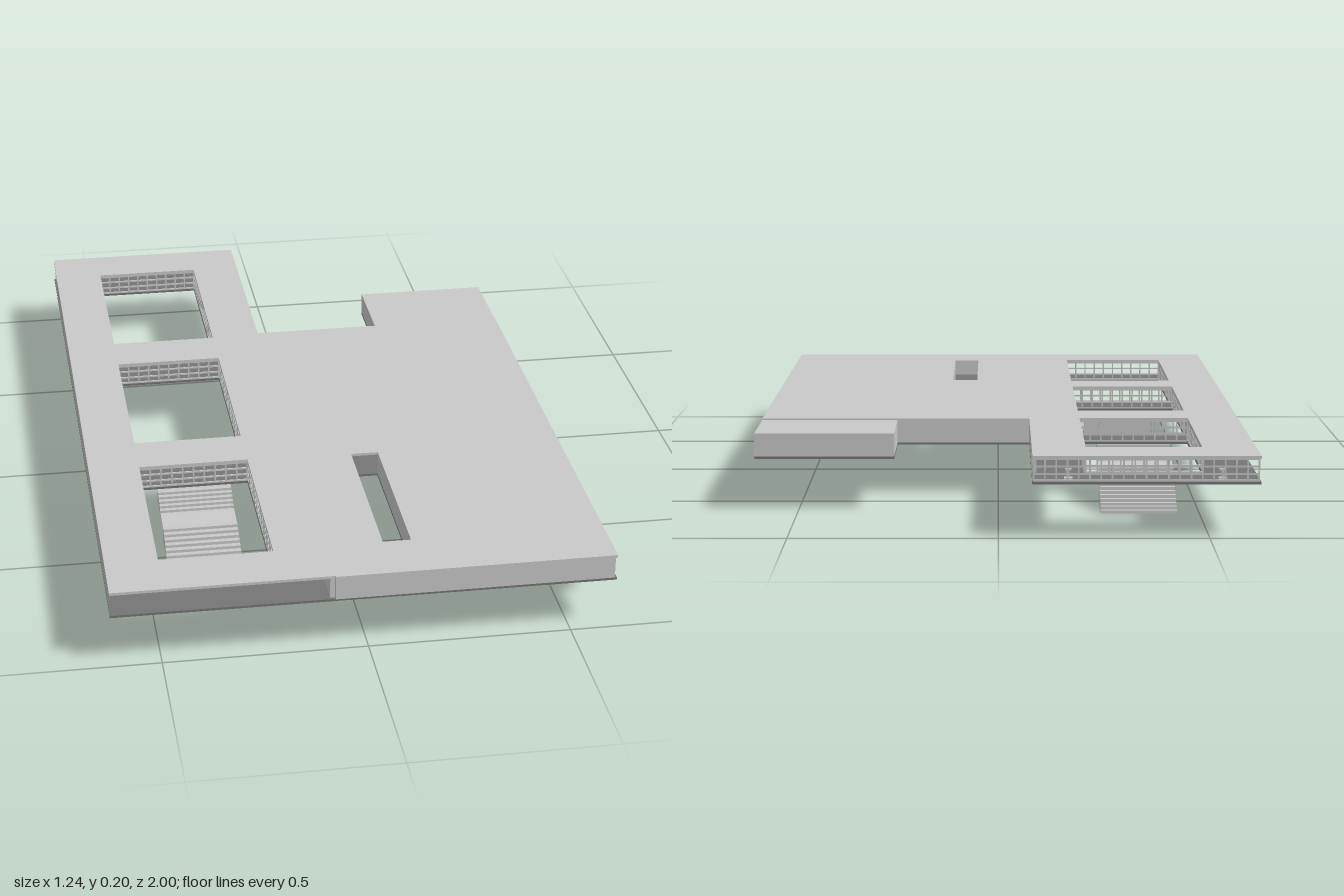
import * as THREE from 'three';

const pale = new THREE.MeshStandardMaterial({ color: 0xc8c8c8 });
pale.name = 'pale concrete';
const dark = new THREE.MeshStandardMaterial({ color: 0x757575 });
dark.name = 'dark floor';

const FLOOR = 0.135, CEIL = 0.19, TOP = 0.197;
// openings as [x0, x1, z0, z1]
const courts = [[-0.49, -0.21, -0.865, -0.38], [-0.49, -0.21, -0.245, 0.235], [-0.49, -0.21, 0.37, 0.85]];
const slot = [0.06, 0.13, 0.38, 0.845];

export function createModel() {
  const model = new THREE.Group();
  model.name = 'pavilion';

  function box(name, x0, x1, y0, y1, z0, z1, material = pale, parent = model) {
    const mesh = new THREE.Mesh(new THREE.BoxGeometry(x1 - x0, y1 - y0, z1 - z0), material);
    mesh.position.set((x0 + x1) / 2, (y0 + y1) / 2, (z0 + z1) / 2);
    mesh.name = name;
    parent.add(mesh);
  }

  // horizontal plate with openings, drawn in x and z
  function slab(name, outline, holes, y0, y1, material) {
    const shape = new THREE.Shape(outline.map(([x, z]) => new THREE.Vector2(x, z)));
    for (const [x0, x1, z0, z1] of holes) {
      shape.holes.push(new THREE.Path([[x0, z0], [x0, z1], [x1, z1], [x1, z0]].map(([x, z]) => new THREE.Vector2(x, z))));
    }
    const geometry = new THREE.ExtrudeGeometry(shape, { depth: y1 - y0, bevelEnabled: false });
    geometry.rotateX(Math.PI / 2);
    const mesh = new THREE.Mesh(geometry, material);
    mesh.position.y = y1;
    mesh.name = name;
    model.add(mesh);
  }

  // open window grid along x or z
  function grid(name, axis, from, to, at) {
    const group = new THREE.Group();
    group.name = name;
    const bar = 0.002;
    const put = (a0, a1, y0, y1) => axis === 'x'
      ? box('bar', a0, a1, y0, y1, at - bar, at + bar, pale, group)
      : box('bar', at - bar, at + bar, y0, y1, a0, a1, pale, group);
    for (const y of [FLOOR + 0.002, 0.153, 0.171, CEIL - 0.002]) put(from, to, y - bar, y + bar);
    const n = Math.round((to - from) / 0.027);
    for (let i = 0; i <= n; i++) {
      const a = from + (to - from) * i / n;
      put(a - bar, a + bar, FLOOR, CEIL);
    }
    model.add(group);
  }

  // floor and roof plates
  slab('floor', [[-0.62, -1], [-0.08, -1], [-0.08, -0.39], [0.26, -0.39], [0.26, -0.62], [0.61, -0.62], [0.61, 0.995], [-0.62, 0.99]],
    [...courts, slot], 0.129, FLOOR, dark);
  slab('roof', [[-0.62, -1], [-0.08, -1], [-0.08, -0.39], [0.61, -0.39], [0.61, 0.995], [-0.08, 0.995], [-0.08, 0.99], [-0.62, 0.99]],
    [...courts, slot], CEIL, TOP, pale);
  box('rearBlockRoof', 0.26, 0.61, CEIL - 0.002, TOP - 0.004, -0.62, -0.39);

  // solid walls
  const t = 0.012;
  box('frontWall', -0.08, 0.605, FLOOR, CEIL, 0.995 - t, 0.995);
  box('wingWall', -0.08 - t, -0.08, FLOOR, CEIL, -0.86, 0.985);
  box('notchWall', -0.08, 0.26, FLOOR, CEIL, -0.39, -0.39 + t);
  box('notchSideWall', 0.26, 0.26 + t, FLOOR, CEIL, -0.62, -0.39);
  box('rearBlockWall', 0.26, 0.61, FLOOR, CEIL, -0.62, -0.62 + t);
  box('sideWallFront', 0.605 - t, 0.605, FLOOR, CEIL, 0.235, 0.995 - t);
  box('sideWallRear', 0.605 - t, 0.605, FLOOR, CEIL, -0.38, -0.24);
  for (const x of [slot[0] - 0.006, slot[1]]) {
    box('slotWall', x, x + 0.006, FLOOR, CEIL, slot[2], slot[3]);
  }

  // window grids
  grid('sideWindowMiddle', 'z', -0.24, 0.235, 0.604);
  grid('sideWindowRear', 'z', -0.61, -0.38, 0.604);
  grid('rearWindow', 'x', -0.615, -0.083, -0.99);
  for (const [x0, x1, z0, z1] of courts) {
    grid('courtWindow', 'x', x0, x1, z0 - 0.003);
    grid('courtWindow', 'x', x0, x1, z1 + 0.003);
    grid('courtWindow', 'z', z0, z1, x0 - 0.003);
    grid('courtWindow', 'z', z0, z1, x1 + 0.003);
  }

  // small stands at the rear end
  for (const x of [-0.53, -0.165]) {
    box('standPost', x - 0.003, x + 0.003, FLOOR, 0.165, -0.981, -0.975);
    box('standBase', x - 0.01, x + 0.01, FLOOR, 0.143, -0.988, -0.968);
    box('standTop', x - 0.008, x + 0.008, 0.16, 0.164, -0.986, -0.97);
  }

  // stairs: profile in z and y, two flights with a landing
  const profile = [[0.37, 0.129], [0.37, 0.09], [0.5, 0.088 - 0.001], [0.5, 0.045], [0.575, 0.045], [0.575, 0], [0.67, 0]];
  const flight = (z0, y0, z1, y1, n) => {
    for (let i = 0; i < n; i++) {
      const z = z0 + (z1 - z0) * i / n;
      const y = y0 + (y1 - y0) * (i + 1) / n;
      profile.push([z, y], [z + (z1 - z0) / n, y]);
    }
  };
  flight(0.67, 0, 0.5, 0.089, 12);
  flight(0.45, 0.089, 0.38, 0.13, 6);
  const stairShape = new THREE.Shape(profile.map(([z, y]) => new THREE.Vector2(z, y)));
  const stairGeometry = new THREE.ExtrudeGeometry(stairShape, { depth: 0.19, bevelEnabled: false });
  stairGeometry.rotateY(-Math.PI / 2);
  stairGeometry.translate(-0.255, 0, 0);
  const frontStair = new THREE.Mesh(stairGeometry, pale);
  frontStair.name = 'frontStair';
  const rearStair = new THREE.Mesh(stairGeometry, pale);
  rearStair.name = 'rearStair';
  rearStair.rotation.y = Math.PI;
  rearStair.position.set(-0.7, 0, -0.005);
  model.add(frontStair, rearStair);

  // sunken seating below the floor, with dark stepped underside
  box('seatingBox', 0.335, 0.61, 0.106, 0.13, 0.38, 0.85);
  const steps = [[0.335, 0.61, 0.1], [0.515, 0.62, 0.095], [0.555, 0.62, 0.09], [0.575, 0.62, 0.086]];
  steps.forEach(([x0, x1, y], i) => box('seatingStep', x0, x1, y, i ? steps[i - 1][2] + (i === 1 ? 0.008 : 0) : 0.106, 0.38, 0.848, dark));
  for (let i = 0; i < 7; i++) {
    const x = 0.35 + i * 0.024;
    box('seatingRib', x, x + 0.012, 0.098, 0.1, 0.384, 0.846, dark);
  }
  return model;
}
